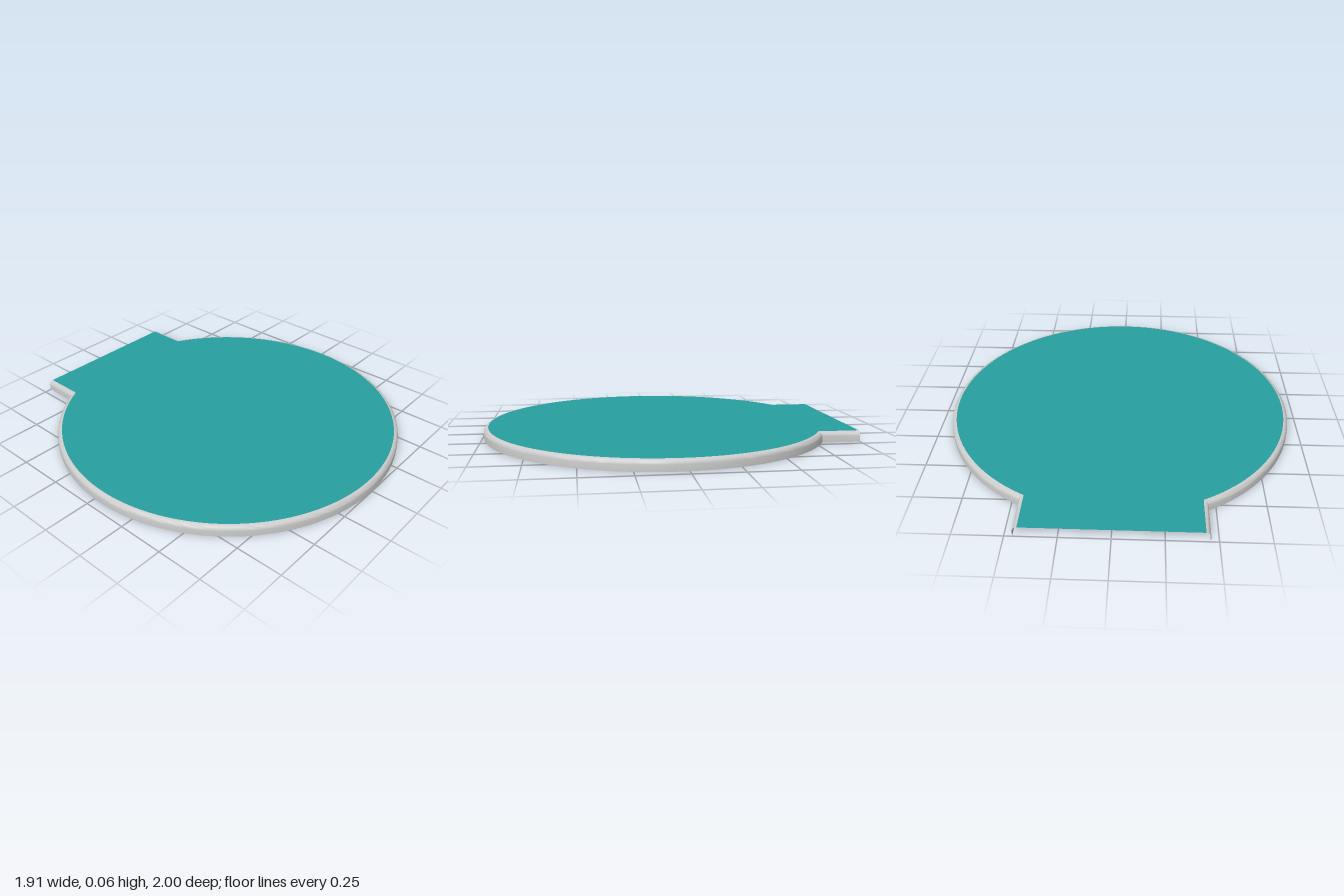
import * as THREE from 'three';
import { toCreasedNormals } from 'three/addons/utils/BufferGeometryUtils.js';

const RADIUS = 0.955, CENTER_Z = 0.045, NECK = 0.46, BACK_Z = -1;
const HEIGHT = 0.057, BEVEL = 0.024, ARC_STEPS = 128;

// Disc-with-neck outline moved inwards by inset, as [x, z] from one neck end to the other
function outline(inset) {
  const r = RADIUS - inset, w = NECK - inset;
  const start = Math.PI - Math.asin(w / r);
  const points = [[w, BACK_Z]];
  for (let i = 0; i <= ARC_STEPS; i++) {
    const t = start * (1 - (2 * i) / ARC_STEPS);
    points.push([r * Math.sin(t), CENTER_Z + r * Math.cos(t)]);
  }
  points.push([-w, BACK_Z]);
  return points;
}

// Open skirt: rounded shoulder, then a straight wall down to the ground
function rimGeometry() {
  const profile = [];
  for (let i = 0; i <= 4; i++) {
    const a = (i / 4) * Math.PI / 2;
    profile.push([BEVEL * (1 - Math.sin(a)), HEIGHT - BEVEL * (1 - Math.cos(a))]);
  }
  profile.push([0, 0]);

  const positions = [], indices = [];
  const count = ARC_STEPS + 3;
  profile.forEach(([inset, y], i) => {
    outline(inset).forEach(([x, z], j) => {
      positions.push(x, y, z);
      if (i < profile.length - 1 && j < count - 1) {
        const a = i * count + j, c = a + count;
        indices.push(a, a + 1, c, a + 1, c + 1, c);
      }
    });
  });
  const geometry = new THREE.BufferGeometry();
  geometry.setAttribute('position', new THREE.Float32BufferAttribute(positions, 3));
  geometry.setIndex(indices);
  return toCreasedNormals(geometry, 0.8);
}

export function createModel() {
  const model = new THREE.Group();
  model.name = 'discPlatform';

  // Flat coloured top sheet
  const shape = new THREE.Shape(outline(BEVEL).map(([x, z]) => new THREE.Vector2(x, -z)));
  const topGeometry = new THREE.ShapeGeometry(shape).rotateX(-Math.PI / 2).translate(0, HEIGHT, 0);
  const top = new THREE.Mesh(topGeometry,
    new THREE.MeshStandardMaterial({ color: 0x27a09f, side: THREE.DoubleSide }));
  top.name = 'topSurface';

  // Grey edge, open underneath and at the back of the neck
  const rim = new THREE.Mesh(rimGeometry(),
    new THREE.MeshStandardMaterial({ color: 0xcccccc, side: THREE.DoubleSide }));
  rim.name = 'rim';

  model.add(top, rim);
  return model;
}
